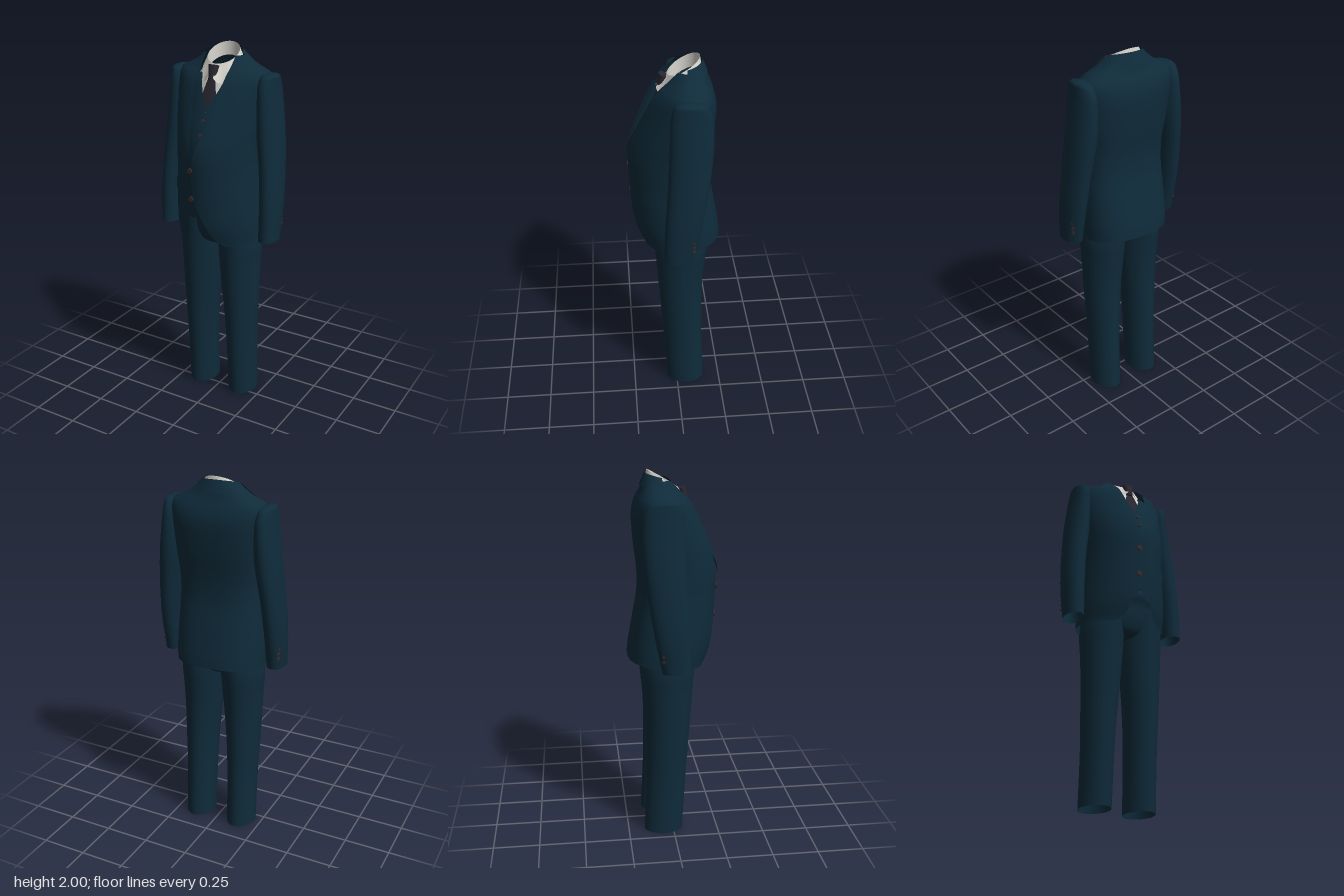
import * as THREE from 'three';
import { mergeVertices } from 'three/addons/utils/BufferGeometryUtils.js';

const cloth = (name, color) => new THREE.MeshStandardMaterial({ name, color, side: THREE.DoubleSide });

// Smooth lookup in rows of [y, value, value...]
function sample(rows, y) {
  const last = rows.length - 1;
  if (y <= rows[0][0]) return rows[0].slice(1);
  if (y >= rows[last][0]) return rows[last].slice(1);
  let i = 0;
  while (y > rows[i + 1][0]) i++;
  const p = rows[i], q = rows[i + 1], before = rows[Math.max(i - 1, 0)], after = rows[Math.min(i + 2, last)];
  const h = q[0] - p[0], t = (y - p[0]) / h, s = t * t * (3 - 2 * t);
  return p.slice(1).map((v, k) => {
    const j = k + 1;
    const m0 = (q[j] - before[j]) / (q[0] - before[0]) * h;
    const m1 = (after[j] - p[j]) / (after[0] - p[0]) * h;
    return v + (q[j] - v) * s + t * (1 - t) * (1 - t) * m0 - t * t * (1 - t) * m1;
  });
}

// Sheet of nu x nv cells from a rule f(u, v) -> [x, y, z]
function sheet(name, material, nu, nv, f) {
  const pos = [], index = [];
  for (let j = 0; j <= nv; j++) for (let i = 0; i <= nu; i++) pos.push(...f(i / nu, j / nv));
  for (let j = 0; j < nv; j++) for (let i = 0; i < nu; i++) {
    const a = j * (nu + 1) + i, b = a + nu + 1;
    index.push(a, a + 1, b, a + 1, b + 1, b);
  }
  let g = new THREE.BufferGeometry();
  g.setAttribute('position', new THREE.Float32BufferAttribute(pos, 3));
  g.setIndex(index);
  g = mergeVertices(g, 1e-5);
  g.computeVertexNormals();
  const mesh = new THREE.Mesh(g, material);
  mesh.name = name;
  return mesh;
}

// Torso section [halfWidth, zFront, zBack, zCentre]; angle 0 is the front, PI the back
const NF = 1.85, NB = 2.6;
function torsoPoint([a, zf, zb, zc], th) {
  const n = th < Math.PI / 2 ? NF : NB, s = Math.sin(th), c = Math.cos(th);
  const depth = c > 0 ? zf - zc : zc - zb;
  return [a * Math.sign(s) * Math.abs(s) ** (2 / n), zc + depth * Math.sign(c) * Math.abs(c) ** (2 / n)];
}
const frontZ = ([a, zf, , zc], x) => zc + (zf - zc) * (1 - Math.min(1, Math.abs(x) / a) ** NF) ** (1 / NF);
const edgeAngle = (a, e) => Math.sign(e) * Math.asin(Math.min(1, Math.abs(e) / a) ** (NF / 2));

const JACKET = [
  [0.99, 0.24, 0.19, -0.235, -0.02], [1.08, 0.242, 0.222, -0.226, -0.02], [1.2, 0.238, 0.235, -0.205, -0.02],
  [1.35, 0.23, 0.243, -0.178, -0.02], [1.45, 0.23, 0.246, -0.175, -0.02], [1.52, 0.235, 0.238, -0.18, -0.025],
  [1.6, 0.245, 0.213, -0.19, -0.03], [1.7, 0.255, 0.172, -0.198, -0.04], [1.78, 0.262, 0.137, -0.199, -0.05],
  [1.83, 0.265, 0.11, -0.188, -0.055], [1.865, 0.255, 0.082, -0.172, -0.055], [1.885, 0.215, 0.062, -0.16, -0.055],
  [1.91, 0.165, 0.042, -0.151, -0.055], [1.95, 0.115, 0.012, -0.14, -0.055]];
const OPENING = [[0.98, 0.13], [1.03, 0.08], [1.1, 0.05], [1.2, 0.016], [1.26, 0.002], [1.45, 0.002],
  [1.55, 0.03], [1.7, 0.06], [1.8, 0.078], [1.9, 0.088], [1.95, 0.09]];
const SHIFT = [[1.0, 0], [1.22, -0.025], [1.42, -0.025], [1.65, 0]];
const SHIRT = [[1.6, 0.2, 0.14, -0.1, -0.03], [1.69, 0.19, 0.115, -0.12, -0.03], [1.76, 0.18, 0.095, -0.13, -0.035],
  [1.82, 0.155, 0.075, -0.14, -0.04], [1.87, 0.115, 0.055, -0.13, -0.04], [1.91, 0.09, 0.042, -0.12, -0.04]];
const SLEEVE = [[1.0, 0.306, 0.003, 0.05, 0.077], [1.2, 0.305, -0.02, 0.055, 0.094], [1.4, 0.292, -0.042, 0.058, 0.102],
  [1.6, 0.27, -0.058, 0.062, 0.108], [1.78, 0.258, -0.06, 0.051, 0.102], [1.84, 0.26, -0.056, 0.043, 0.086],
  [1.865, 0.263, -0.052, 0.033, 0.06], [1.875, 0.264, -0.05, 0.001, 0.002]];
const LEG = [[0.005, 0.13, -0.053, 0.08, 0.107], [0.3, 0.128, -0.037, 0.084, 0.108], [0.5, 0.127, -0.028, 0.092, 0.113],
  [0.7, 0.122, -0.021, 0.104, 0.121], [0.85, 0.119, -0.022, 0.113, 0.132], [0.95, 0.118, -0.023, 0.118, 0.141],
  [1.1, 0.11, -0.018, 0.11, 0.147]];
const PELVIS = [[0.93, 0, -0.02, 0.001, 0.002], [0.935, 0, -0.02, 0.06, 0.08], [0.98, 0, -0.02, 0.2, 0.125],
  [1.1, 0, -0.02, 0.22, 0.15], [1.2, 0, -0.02, 0.2, 0.15], [1.205, 0, -0.02, 0.001, 0.001]];

const jacketAt = (y) => sample(JACKET, y);
const vestAt = (y) => { const [a, f, b, c] = jacketAt(y); return [a - 0.025, f - 0.035, b + 0.02, c]; };
const openingAt = (y, side) => sample(OPENING, y)[0] + side * sample(SHIFT, y)[0];

// Half of a torso garment, from its front edge round to an end angle
function shell(name, material, at, edge, y0, y1, end, side) {
  return sheet(name, material, 28, 48, (u, v) => {
    let y = y0 + (y1 - y0) * v;
    const r = at(y), start = edgeAngle(r[0], edge(y));
    const [x, z] = torsoPoint(r, start + (end - start) * u);
    y -= z * 0.1 * Math.max(0, (1.1 - y) / 0.1);
    return [side * x, y, z];
  });
}

// Tube of stacked ovals
function tube(name, material, rows, side = 1, n = 2) {
  const y0 = rows[0][0], y1 = rows[rows.length - 1][0];
  const ys = [];
  for (let k = 0; k < rows.length - 1; k++) for (let j = 0; j < 5; j++) ys.push(rows[k][0] + (rows[k + 1][0] - rows[k][0]) * j / 5);
  ys.push(y1);
  return sheet(name, material, 32, ys.length - 1, (u, v) => {
    const y = ys[Math.round(v * (ys.length - 1))], [cx, cz, rx, rz] = sample(rows, Math.max(y0, y));
    const s = Math.sin(u * 2 * Math.PI), c = Math.cos(u * 2 * Math.PI);
    return [side * (cx + rx * Math.sign(s) * Math.abs(s) ** (2 / n)), y, cz + rz * Math.sign(c) * Math.abs(c) ** (2 / n)];
  });
}

// Flat panel laid over a garment front
function panel(name, material, y0, y1, inner, outer, z, side = 1) {
  return sheet(name, material, 8, 20, (u, v) => {
    const y = y0 + (y1 - y0) * v, x = inner(y) + (outer(y) - inner(y)) * u;
    return [side * x, y, z(x, y)];
  });
}

export function createModel() {
  const model = new THREE.Group();
  model.name = 'suit';
  const navy = cloth('navy cloth', 0x0f2b3a), white = cloth('shirt white', 0xd6d3cc);
  const tieDark = cloth('tie charcoal', 0x2a2730), brown = cloth('button brown', 0x3a2a2a);
  const add = (...m) => model.add(...m);

  const button = (name, x, y, z, r, dir) => {
    const b = new THREE.Mesh(new THREE.CylinderGeometry(r, r, 0.008, 16), brown);
    b.name = name;
    b.position.set(x, y, z);
    b.quaternion.setFromUnitVectors(new THREE.Vector3(0, 1, 0), new THREE.Vector3(...dir).normalize());
    add(b);
  };

  const lapelOuter = [[1.46, 0.004], [1.55, 0.07], [1.65, 0.135], [1.74, 0.187], [1.765, 0.19], [1.79, 0.172], [1.835, 0.14]];
  const collarOuter = [[1.82, 0.135], [1.845, 0.165], [1.9, 0.148], [1.95, 0.112]];
  const vestEdge = [[1.11, 0.04], [1.17, 0.001], [1.69, 0.001], [1.78, 0.045], [1.86, 0.075]];
  const onJacket = (x, y) => frontZ(jacketAt(y), x) + 0.01;

  for (const side of [1, -1]) {
    const label = side > 0 ? 'left' : 'right';
    const edge = (y) => openingAt(y, side);
    // Jacket
    add(shell(label + 'JacketBody', navy, jacketAt, edge, 0.985, 1.95, Math.PI, side));
    add(tube(label + 'Sleeve', navy, SLEEVE, side, 2.1));
    add(panel(label + 'Lapel', navy, 1.46, 1.835, edge, (y) => Math.max(edge(y), sample(lapelOuter, y)[0]), onJacket, side));
    add(panel(label + 'CollarFront', navy, 1.82, 1.95, edge, (y) => sample(collarOuter, y)[0], onJacket, side));
    add(panel(label + 'PocketFlap', navy, 1.255, 1.315, () => 0.155, () => 0.222, onJacket, side));
    // Waistcoat and shirt front
    add(shell(label + 'Waistcoat', navy, vestAt, (y) => sample(vestEdge, y)[0], 1.11, 1.86, 1.6, side));
    add(shell(label + 'ShirtFront', white, (y) => sample(SHIRT, y), () => 0, 1.62, 1.91, 1.5, side));
    // Folded shirt collar with a point at the front
    add(sheet(label + 'ShirtCollar', white, 32, 6, (u, v) => {
      const th = 0.15 + (Math.PI - 0.15) * u, f = (1 + Math.cos(th)) / 2;
      const drop = 0.045 + 0.05 * Math.exp(-(((th - 0.5) / 0.35) ** 2));
      const rx = 0.084 + 0.018 * v, rz = 0.08 + v * (0.008 + 0.05 * f);
      return [side * rx * Math.sin(th), 2 - 0.09 * f - drop * v, -0.04 + rz * Math.cos(th)];
    }));
    // Sleeve buttons
    for (let k = 0; k < 3; k++) button(label + 'CuffButton', side * 0.342, 1.07 + k * 0.028, -0.071, 0.009, [side * 0.8, 0, -0.6]);
    // Trouser leg
    add(tube(label + 'TrouserLeg', navy, LEG, side, 1.9));
  }
  add(tube('trouserSeat', navy, PELVIS));

  // Jacket collar round the back of the neck
  add(sheet('collarBack', navy, 32, 6, (u, v) => {
    const th = Math.PI * (0.5 + u), back = -Math.cos(th);
    const top = 1.965 + 0.02 * back;
    return [(0.1 + 0.05 * v) * Math.sin(th), top + (1.922 - top) * v, -0.05 - (0.083 + 0.025 * v) * back];
  }));
  // Shirt collar stand
  add(sheet('collarStand', white, 48, 4, (u, v) => {
    const th = 2 * Math.PI * u, f = (1 + Math.cos(th)) / 2;
    return [(0.084 - 0.004 * v) * Math.sin(th), 2 - 0.09 * f - 0.07 * v, -0.04 + (0.08 - 0.003 * v) * Math.cos(th)];
  }));

  // Tie blade and knot
  const blade = [[1.685, 0.008], [1.74, 0.043], [1.78, 0.036], [1.85, 0.018]];
  const bladeX = (y) => sample(blade, y)[0];
  add(panel('tieBlade', tieDark, 1.685, 1.85, (y) => -bladeX(y), bladeX, (x, y) => frontZ(sample(SHIRT, y), x) + 0.016));
  const knot = new THREE.Mesh(new THREE.CylinderGeometry(0.03, 0.018, 0.08, 20), tieDark);
  knot.name = 'tieKnot';
  knot.scale.z = 0.75;
  knot.position.set(0, 1.868, 0.071);
  knot.rotation.x = -0.3;
  add(knot);

  // Front buttons
  for (const y of [1.39, 1.235]) button('jacketButton', -0.035, y, frontZ(jacketAt(y), 0.035) + 0.004, 0.015, [-0.1, 0, 1]);
  for (const y of [1.64, 1.57]) button('waistcoatButton', 0, y, frontZ(vestAt(y), 0) + 0.003, 0.009, [0, 0.4, 1]);

  return model;
}
